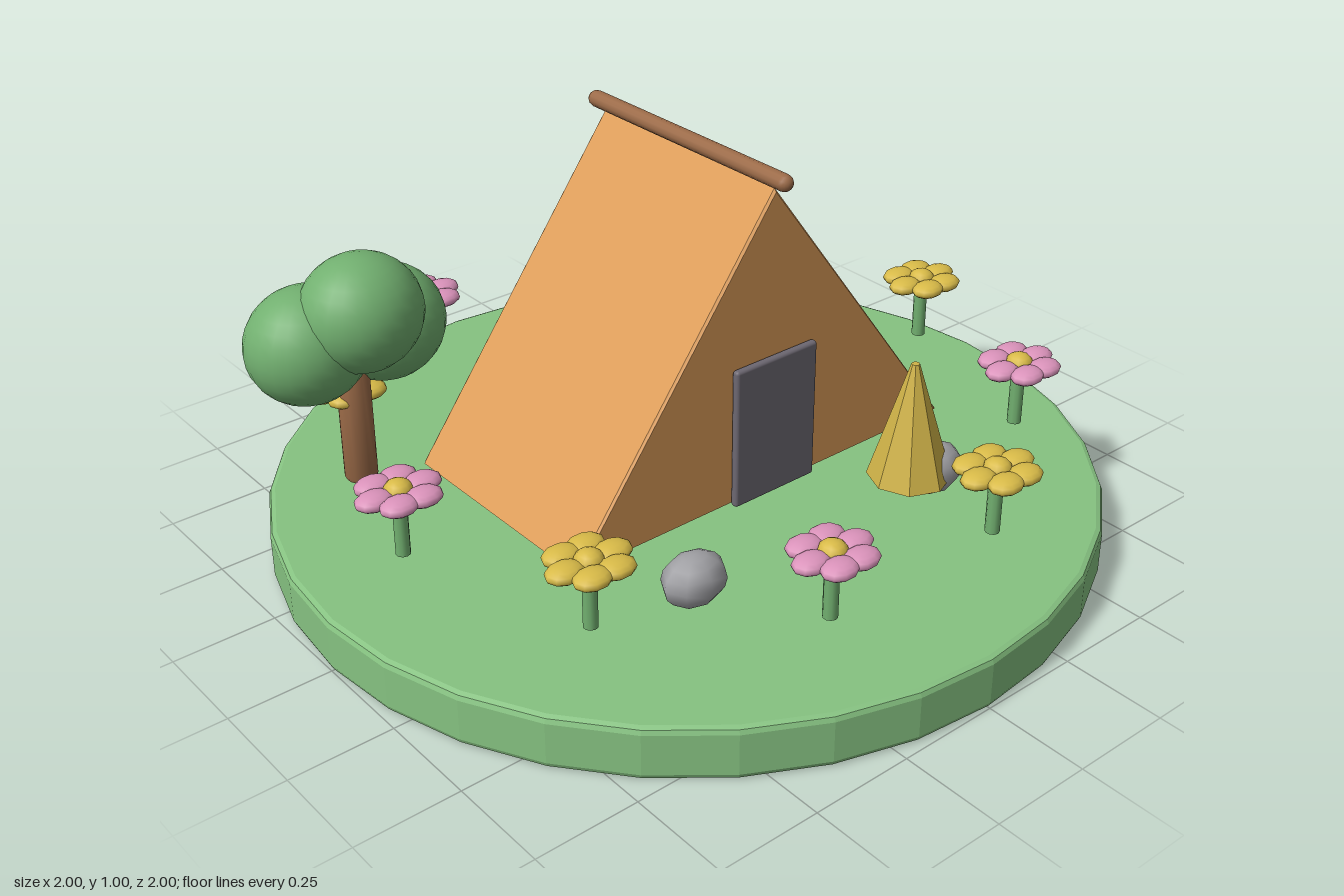
import * as THREE from 'three';
import { toCreasedNormals } from 'three/addons/utils/BufferGeometryUtils.js';
import { RoundedBoxGeometry } from 'three/addons/geometries/RoundedBoxGeometry.js';

function material(name, color) {
  const m = new THREE.MeshStandardMaterial({ color });
  m.name = name;
  return m;
}

function part(parent, name, geometry, mat, x = 0, y = 0, z = 0) {
  const mesh = new THREE.Mesh(geometry, mat);
  mesh.name = name;
  mesh.position.set(x, y, z);
  parent.add(mesh);
  return mesh;
}

// Upright cylinder from y = 0 to height, with bevelled rims
function bevelledCylinder(radius, height, bevel, sides, crease) {
  const profile = [
    [0, 0], [radius - bevel, 0], [radius - bevel * 0.3, bevel * 0.3], [radius, bevel],
    [radius, height - bevel], [radius - bevel * 0.3, height - bevel * 0.3],
    [radius - bevel, height], [0, height],
  ].map(([x, y]) => new THREE.Vector2(x, y));
  return toCreasedNormals(new THREE.LatheGeometry(profile, sides), crease);
}

export function createModel() {
  const model = new THREE.Group();
  model.name = 'campsite';

  const grass = material('grass green', 0x86c281);
  const leaf = material('leaf green', 0x72b070);
  const canvas = material('canvas orange', 0xdc9c58);
  const wood = material('wood brown', 0x9c6b48);
  const slate = material('door grey', 0x6d6872);
  const stone = material('stone grey', 0xa0a0a4);
  const pink = material('petal pink', 0xdb93bb);
  const yellow = material('petal yellow', 0xd9bb48);
  const straw = material('straw yellow', 0xcfb248);

  // Round ground disc
  part(model, 'ground', bevelledCylinder(1, 0.13, 0.015, 32, 0.1), grass);

  // Tent: bevelled triangular prism
  const tent = new THREE.Group();
  tent.name = 'tent';
  model.add(tent);
  const bevel = 0.006;
  const gable = new THREE.Shape([
    new THREE.Vector2(-0.548, 0.216),
    new THREE.Vector2(0.548, 0.216),
    new THREE.Vector2(0, 0.95),
  ]);
  const prism = new THREE.ExtrudeGeometry(gable, {
    depth: 0.6 - 2 * bevel, bevelEnabled: true, bevelSize: bevel, bevelThickness: bevel, bevelSegments: 1,
  });
  part(tent, 'canvas', prism, canvas, 0, 0, -0.3 + bevel);
  part(tent, 'door', new RoundedBoxGeometry(0.24, 0.35, 0.02, 2, 0.008), slate, 0, 0.385, 0.31);
  const ridge = part(tent, 'ridgePole', new THREE.CapsuleGeometry(0.02, 0.65, 4, 12), wood, 0, 0.98, 0);
  ridge.rotation.x = Math.PI / 2;

  // Tree: trunk and three leafy clumps
  const tree = new THREE.Group();
  tree.name = 'tree';
  model.add(tree);
  part(tree, 'trunk', bevelledCylinder(0.04, 0.36, 0.015, 14, 0.7), wood, -0.66, 0.16, -0.41);
  const clump = new THREE.SphereGeometry(1, 24, 16);
  for (const [x, y, z] of [[-0.765, 0.553, -0.412], [-0.55, 0.533, -0.435], [-0.66, 0.627, -0.345]]) {
    part(tree, 'foliage', clump, leaf, x, y, z).scale.set(0.147, 0.14, 0.136);
  }

  // Rocks
  const rock = new THREE.SphereGeometry(1, 8, 8);
  for (const [x, z] of [[-0.37, 0.47], [0.43, -0.49], [0.35, 0.483]]) {
    part(model, 'rock', rock, stone, x, 0.213, z).scale.set(0.081, 0.062, 0.062);
  }

  // Eight-sided straw cone
  const cone = toCreasedNormals(new THREE.CylinderGeometry(0.01, 0.1, 0.295, 8), 0.1);
  part(model, 'strawCone', cone, straw, 0.3, 0.347, 0.455);

  // Ring of ten flowers, alternating yellow and pink
  const stem = new THREE.CylinderGeometry(0.017, 0.017, 0.13, 10);
  const petal = new THREE.SphereGeometry(1, 10, 8);
  for (let i = 0; i < 10; i++) {
    const angle = (i * Math.PI) / 5;
    const flower = new THREE.Group();
    flower.name = 'flower';
    flower.position.set(0.8 * Math.cos(angle), 0, 0.8 * Math.sin(angle));
    model.add(flower);
    part(flower, 'stem', stem, leaf, 0, 0.285, 0);
    part(flower, 'flowerCentre', petal, yellow, 0, 0.383, 0).scale.set(0.033, 0.025, 0.033);
    for (let k = 0; k < 6; k++) {
      const a = (k * Math.PI) / 3;
      part(flower, 'petal', petal, i % 2 ? pink : yellow, 0.06 * Math.cos(a), 0.379, 0.06 * Math.sin(a))
        .scale.set(0.046, 0.02, 0.036);
    }
  }

  return model;
}
